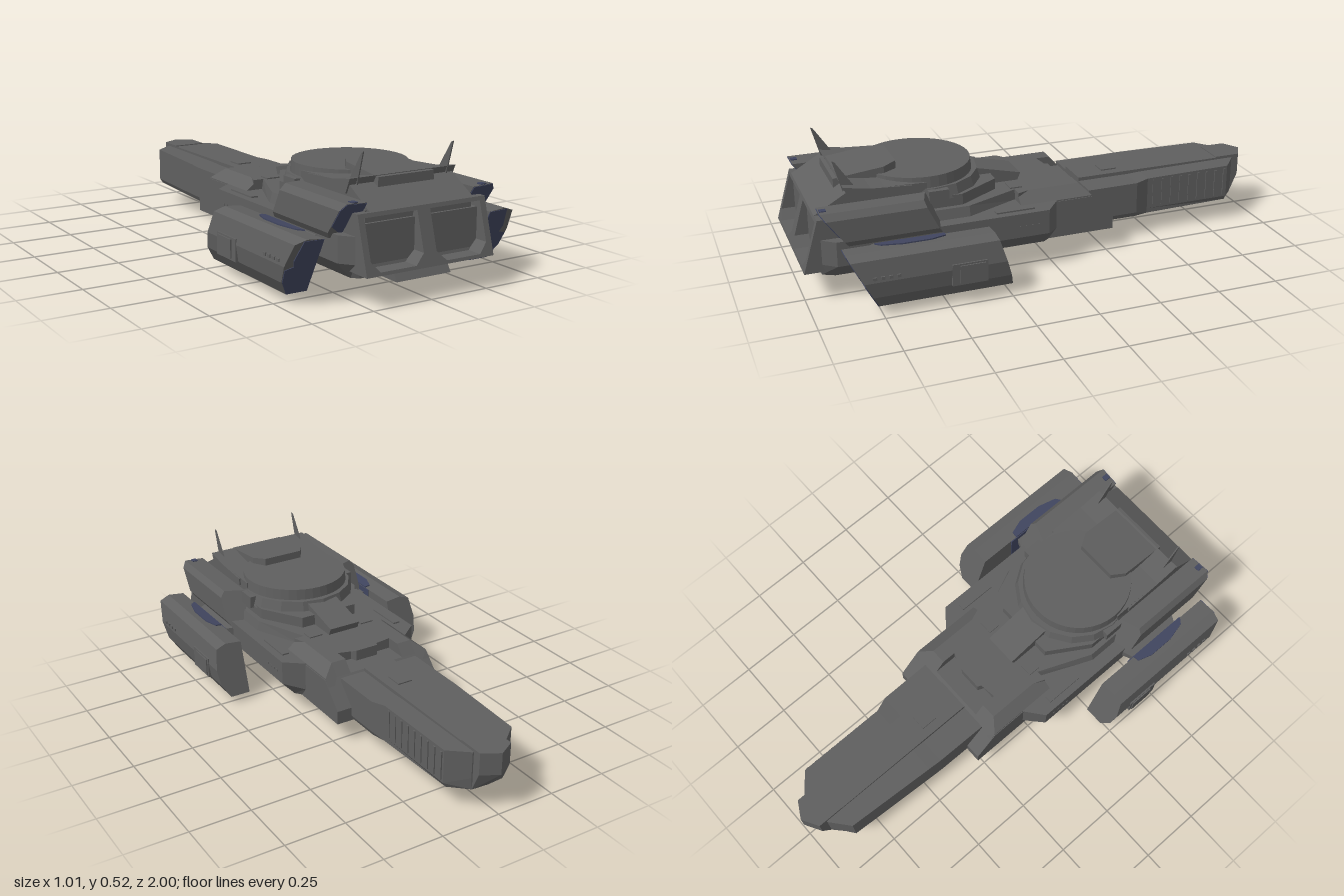
import * as THREE from 'three';

const hull = new THREE.MeshStandardMaterial({ color: 0x5f5f5f });
hull.name = 'hullGrey';
const blue = new THREE.MeshStandardMaterial({ color: 0x40455f });
blue.name = 'engineBlue';
for (const m of [hull, blue]) m.flatShading = true;

export function createModel() {
  const ship = new THREE.Group();
  ship.name = 'starship';

  const add = (name, geo, mat = hull) => {
    const mesh = new THREE.Mesh(geo, mat);
    mesh.name = name;
    ship.add(mesh);
    return mesh;
  };
  const box = (name, x0, x1, y0, y1, z0, z1, mat = hull) =>
    add(name, new THREE.BoxGeometry(Math.abs(x1 - x0), y1 - y0, z1 - z0), mat)
      .position.set((x0 + x1) / 2, (y0 + y1) / 2, (z0 + z1) / 2);

  // Closed solid through rings of [x, y, z]; winding follows the signed volume
  const loft = (name, rings, mat = hull) => {
    const n = rings[0].length, tris = [];
    for (let r = 0; r + 1 < rings.length; r++) {
      for (let i = 0; i < n; i++) {
        const j = (i + 1) % n, [a, b] = [rings[r], rings[r + 1]];
        tris.push([a[i], a[j], b[j]], [a[i], b[j], b[i]]);
      }
    }
    const first = rings[0], last = rings[rings.length - 1];
    for (let i = 1; i + 1 < n; i++) {
      tris.push([first[0], first[i + 1], first[i]], [last[0], last[i], last[i + 1]]);
    }
    const V = (p) => new THREE.Vector3(...p);
    const o = V(first[0]);
    let volume = 0;
    for (const [a, b, c] of tris) volume += V(a).sub(o).dot(V(b).sub(o).cross(V(c).sub(o)));
    const pos = tris.flatMap(([a, b, c]) => (volume < 0 ? [a, c, b] : [a, b, c])).flat();
    const geo = new THREE.BufferGeometry();
    geo.setAttribute('position', new THREE.Float32BufferAttribute(pos, 3));
    geo.computeVertexNormals();
    return add(name, geo, mat);
  };

  // Side profile [z, y] across x, and plan outline (right half, [x, z]) mirrored and raised in y
  const profile = (name, x0, x1, pts, mat) =>
    loft(name, [x0, x1].map((x) => pts.map(([z, y]) => [x, y, z])), mat);
  const plan = (name, half, levels) => {
    const out = [...half, ...half.map(([x, z]) => [-x, z]).reverse()];
    return loft(name, levels.map(([y, k = 1]) => out.map(([x, z]) => [x * k, y, z])));
  };
  const frame = (w, wb, y0, y1, y2, z) =>
    [[w, y2, z], [w, y1, z], [wb, y0, z], [-wb, y0, z], [-w, y1, z], [-w, y2, z]];

  // Main hull with bevelled bilge and chamfered shoulders
  loft('mainHull', [
    frame(0.245, 0.22, 0.09, 0.13, 0.25, -0.03), frame(0.32, 0.265, 0.09, 0.15, 0.25, 0.03),
    frame(0.32, 0.265, 0.09, 0.15, 0.25, 0.88), frame(0.28, 0.26, 0.1, 0.15, 0.25, 0.93),
  ]);

  // Neck with sloping front and a notched ridge
  profile('neck', -0.245, 0.245, [[0.1, 0.09], [-0.28, 0.09], [-0.28, 0.147], [-0.185, 0.245], [0.1, 0.245]]);
  plan('neckRidge', [[0.05, -0.11], [0.06, -0.085], [0.13, -0.085], [0.21, 0.12]], [[0.2], [0.29]]);
  for (const s of [-1, 1]) {
    const arm = (x, y, z) => [[s * x, 0.2, 0.12], [s * x, 0.2, -0.225], [s * x, y, z], [s * x, y, 0.12]];
    loft('neckArm', [arm(0.125, 0.29, -0.145), arm(0.19, 0.29, -0.145), arm(0.242, 0.25, -0.185)]);
  }

  // Long bow, cut back along one side for the vents, with spine and pointed prow
  const recess = (ring) => ring.map(([x, y, z]) => [Math.min(x, 0.155), y, z]);
  loft('bow', [
    frame(0.18, 0.17, 0.09, 0.11, 0.243, -0.2), frame(0.178, 0.168, 0.09, 0.11, 0.243, -0.42),
    recess(frame(0.175, 0.165, 0.09, 0.11, 0.246, -0.48)), frame(0.153, 0.14, 0.09, 0.11, 0.25, -0.86),
    frame(0.075, 0.07, 0.09, 0.14, 0.25, -0.925),
  ]);
  plan('prow', [[0.07, -0.85], [0.07, -0.96], [0, -1]], [[0.17], [0.262]]);
  loft('prowChin', [
    [[-0.07, 0.09, -0.85], [0.07, 0.09, -0.85], [0.07, 0.09, -0.925], [0, 0.09, -0.93], [-0.07, 0.09, -0.925]],
    [[-0.07, 0.171, -0.85], [0.07, 0.171, -0.85], [0.07, 0.171, -0.96], [0, 0.171, -1], [-0.07, 0.171, -0.96]],
  ]);
  box('bowSpine', -0.07, 0.07, 0.24, 0.258, -0.92, -0.2);
  box('bowHatch', -0.032, 0.032, 0.25, 0.263, -0.39, -0.32);
  box('bowKeelHatch', -0.035, 0.035, 0.075, 0.1, -0.38, -0.31);

  // Vent ribs on the bow and rows of small fittings
  for (let i = 0; i < 9; i++) {
    const z = -0.85 + i * 0.042;
    box('bowVentRib', 0.148, 0.158, 0.12, 0.238, z, z + 0.01);
  }
  for (const s of [-1, 1]) {
    for (let i = 0; i < 4; i++) box('hullPort', s * 0.318, s * 0.322, 0.19, 0.2, 0.07 + i * 0.025, 0.08 + i * 0.025);
    box('deckGrille', s * 0.26, s * 0.29, 0.25, 0.256, 0.08, 0.24);
  }

  // Stepped superstructure
  plan('lowerDeck', [[0.16, 0.09], [0.27, 0.34], [0.27, 0.93]], [[0.24], [0.29, 0.95]]);
  plan('middleDeck', [[0.13, 0.19], [0.235, 0.36], [0.235, 0.92]], [[0.28], [0.335]]);
  profile('upperDeck', -0.228, 0.228, [[0.5, 0.33], [0.94, 0.33], [0.8, 0.412], [0.5, 0.4]]);
  profile('deckCrest', -0.235, 0.235, [[0.56, 0.37], [0.8, 0.37], [0.826, 0.428], [0.72, 0.41], [0.56, 0.4]]);
  for (const s of [-1, 1]) {
    box('deckHatch', s * 0.095, s * 0.155, 0.27, 0.295, 0.085, 0.135);
    profile('antenna', s * 0.196, s * 0.201, [[0.765, 0.4], [0.82, 0.4], [0.855, 0.525], [0.845, 0.52]]);
    box('turretBracket', s * 0.2, s * 0.255, 0.32, 0.37, 0.42, 0.5);
  }

  // Round turret, forward bridge wedge and aft cabin
  add('turretRing', new THREE.CylinderGeometry(0.235, 0.25, 0.05, 16)).position.set(0, 0.35, 0.47);
  add('turretDisc', new THREE.CylinderGeometry(0.222, 0.228, 0.06, 40)).position.set(0, 0.39, 0.485);
  profile('bridge', -0.07, 0.07, [[0.3, 0.285], [0.075, 0.285], [0.06, 0.32], [0.26, 0.368], [0.3, 0.368]]);
  const cabin = [[0.09, 0.585], [0.125, 0.64], [0.125, 0.84]];
  const cabinOutline = [...cabin, ...cabin.map(([x, z]) => [-x, z]).reverse()];
  loft('aftCabin', [
    cabinOutline.map(([x, z]) => [x, 0.385, z]),
    cabinOutline.map(([x, z]) => [x * 0.98, 0.452 - (z - 0.585) * 0.11, z]),
  ]);

  // Slanted engine block with two chamfered exhausts
  const corner = (x, y) => new THREE.Vector2(x, y);
  const shape = new THREE.Shape([corner(-0.28, 0.12), corner(0.28, 0.12), corner(0.28, 0.33), corner(-0.28, 0.33)]);
  const port = [[0.028, 0.315], [0.028, 0.17], [0.067, 0.132], [0.22, 0.132], [0.255, 0.17], [0.255, 0.315]];
  for (const s of [-1, 1]) shape.holes.push(new THREE.Path(port.map(([x, y]) => corner(s * x, y))));
  const engine = new THREE.ExtrudeGeometry(shape, { depth: 0.13, bevelEnabled: false });
  const p = engine.attributes.position;
  for (let i = 0; i < p.count; i++) p.setZ(i, p.getZ(i) + 0.87 - (p.getY(i) - 0.12) * 0.29);
  engine.computeVertexNormals();
  add('engineBlock', engine);
  profile('engineBulkhead', -0.275, 0.275, [[0.7, 0.125], [0.935, 0.125], [0.878, 0.325], [0.7, 0.325]]);

  // Belly plate and ventral wedge
  profile('bellyPlate', -0.12, 0.12, [[0.42, 0.1], [0.5, 0.07], [0.955, 0.07], [0.92, 0.125], [0.42, 0.125]]);
  profile('ventralFin', -0.07, 0.07, [[0.31, 0], [0.31, 0.1], [0.05, 0.1], [0.065, 0.08]]);

  // Upper and lower pods on each side, joined by struts
  const upper = [[0.27, 0.23], [0.325, 0.23], [0.342, 0.255], [0.34, 0.345], [0.32, 0.37], [0.235, 0.365], [0.235, 0.336], [0.27, 0.325]];
  const upperGlow = [[0.27, 0.23], [0.285, 0.235], [0.295, 0.275], [0.34, 0.28], [0.338, 0.345], [0.32, 0.368], [0.237, 0.363], [0.237, 0.338], [0.27, 0.327]];
  const lower = [[0.37, 0.03], [0.455, 0.03], [0.49, 0.085], [0.5, 0.15], [0.485, 0.235], [0.44, 0.25], [0.37, 0.243]];
  const lowerGlow = [[0.37, 0.03], [0.455, 0.03], [0.488, 0.085], [0.494, 0.135], [0.46, 0.145], [0.468, 0.17], [0.45, 0.245], [0.37, 0.242]];
  const upperEnd = (y) => 0.935 - (0.37 - y) * 0.72;
  const lowerEnd = (y) => 0.875 - (0.25 - y) * 0.52;
  for (const s of [-1, 1]) {
    const ring = (pts, zf) => pts.map(([x, y]) => [s * x, y, zf(y, x)]);
    loft('upperPod', [ring(upper, (y, x) => 0.545 - (0.37 - y) * 0.5 + (x - 0.34) * 0.3), ring(upper, upperEnd)]);
    loft('upperPodExhaust', [ring(upperGlow, (y) => upperEnd(y) - 0.002), ring(upperGlow, (y) => upperEnd(y) + 0.004)], blue);
    box('upperPodLamp', s * 0.272, s * 0.295, 0.365, 0.372, 0.905, 0.93, blue);
    loft('lowerPod', [ring(lower, (y) => 0.235 + (y - 0.03) * 0.3), ring(lower, lowerEnd)]);
    loft('lowerPodExhaust', [ring(lowerGlow, (y) => lowerEnd(y) - 0.002), ring(lowerGlow, (y) => lowerEnd(y) + 0.004)], blue);

    // Blue inner flank and top patch of the lower pod
    profile('podInnerPanel', s * 0.366, s * 0.372, [[0.45, 0.035], [0.75, 0.035], [0.75, 0.242], [0.45, 0.242]], blue);
    const patch = [[0.37, 0.48], [0.395, 0.48], [0.415, 0.54], [0.415, 0.65], [0.395, 0.73], [0.37, 0.75]];
    loft('podTopPatch', [0, 0.005].map((h) => patch.map(([x, z]) => [s * x, 0.243 + (x - 0.37) * 0.1 + h, z])), blue);
    loft('strut', [[0.3, 0.18, 0.225, 0.46, 0.76], [0.375, 0.19, 0.218, 0.49, 0.72]].map(([x, y0, y1, z0, z1]) =>
      [[s * x, y0, z0], [s * x, y0, z1], [s * x, y1, z1], [s * x, y1, z0]]));

    // Raised side panel and ports of the lower pod
    box('podPanelFrame', s * 0.48, s * 0.502, 0.085, 0.172, 0.35, 0.49);
    box('podPanel', s * 0.48, s * 0.507, 0.092, 0.165, 0.36, 0.46);
    for (let i = 0; i < 4; i++) box('podPort', s * 0.49, s * 0.502, 0.16, 0.172, 0.685 + i * 0.03, 0.7 + i * 0.03);
  }
  return ship;
}
